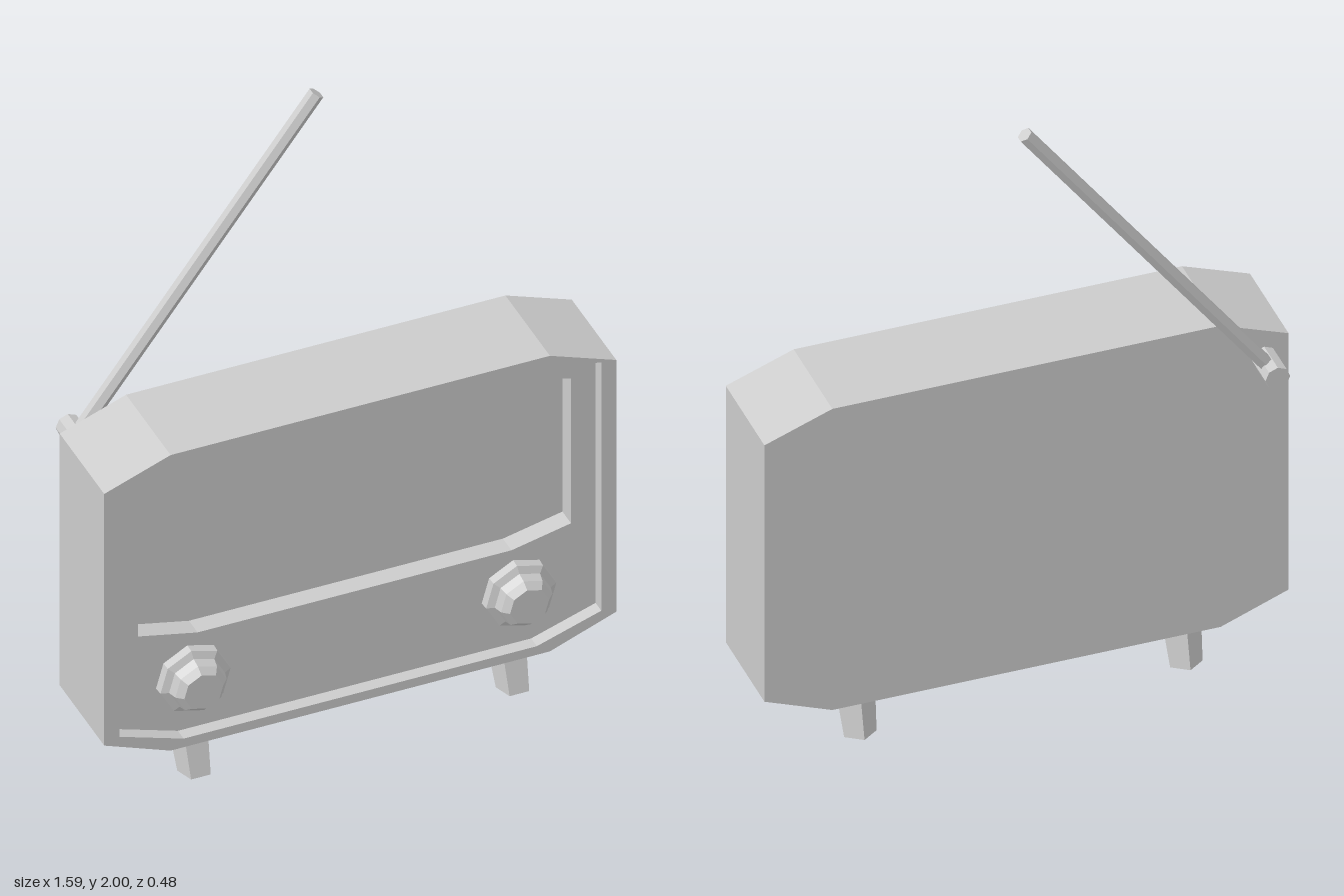
import * as THREE from 'three';

const material = new THREE.MeshStandardMaterial({ color: 0xcccccc, flatShading: true });

function addMesh(parent, name, geometry) {
  const mesh = new THREE.Mesh(geometry, material);
  mesh.name = name;
  parent.add(mesh);
  return mesh;
}

// Octagon with clipped corners, counter-clockwise seen from the front
function octagon([halfW, cornerX, bottom, lowY, highY, top], z) {
  return [
    [halfW, lowY], [halfW, highY], [cornerX, top], [-cornerX, top],
    [-halfW, highY], [-halfW, lowY], [-cornerX, bottom], [cornerX, bottom],
  ].map(([x, y]) => [x, y, z]);
}

// Skin a series of rings and close both ends with fans
function loft(rings) {
  const positions = [];
  const tri = (a, b, c) => positions.push(...a, ...b, ...c);
  const n = rings[0].length;
  for (let r = 0; r < rings.length - 1; r++) {
    for (let i = 0; i < n; i++) {
      const j = (i + 1) % n;
      const [a, b, c, d] = [rings[r][i], rings[r][j], rings[r + 1][j], rings[r + 1][i]];
      tri(a, b, c);
      tri(a, c, d);
    }
  }
  const first = rings[0];
  const last = rings[rings.length - 1];
  for (let i = 1; i < n - 1; i++) {
    tri(first[0], first[i + 1], first[i]);
    tri(last[0], last[i], last[i + 1]);
  }
  const geometry = new THREE.BufferGeometry();
  geometry.setAttribute('position', new THREE.Float32BufferAttribute(positions, 3));
  geometry.computeVertexNormals();
  return geometry;
}

// Tapered rod running between two points
function addRod(parent, name, from, to, rFrom, rTo, sides, spin = 0) {
  const a = new THREE.Vector3(...from);
  const b = new THREE.Vector3(...to);
  const dir = b.clone().sub(a);
  const geometry = new THREE.CylinderGeometry(rTo, rFrom, dir.length(), sides);
  geometry.rotateY(spin);
  const mesh = addMesh(parent, name, geometry);
  mesh.position.copy(a).add(b).multiplyScalar(0.5);
  mesh.quaternion.setFromUnitVectors(new THREE.Vector3(0, 1, 0), dir.normalize());
  return mesh;
}

export function createModel() {
  const model = new THREE.Group();
  model.name = 'portableSet';
  const turned = new THREE.Group();
  turned.name = 'turnedSet';
  turned.rotation.y = 0.085;
  turned.position.z = -0.008;
  model.add(turned);

  // Case with a raised rim, a recessed front panel and a deeper window
  const outer = [0.783, 0.58, 0.12, 0.198, 1.075, 1.15];
  const rim = [0.737, 0.54, 0.15, 0.215, 1.08, 1.125];
  const windowHole = [0.662, 0.48, 0.475, 0.515, 1.02, 1.065];
  addMesh(turned, 'case', loft([
    octagon(outer, -0.155), octagon(outer, 0.155),
    octagon(rim, 0.155), octagon(rim, 0.115),
    octagon(windowHole, 0.115), octagon(windowHole, 0.055),
  ]));

  // Two stepped eight-sided dials
  const dialProfile = [[0.11, 0], [0.108, 0.027], [0.086, 0.037], [0.079, 0.065], [0.06, 0.085], [0, 0.085]]
    .map(([r, h]) => new THREE.Vector2(r, h));
  for (const side of [-1, 1]) {
    const geometry = new THREE.LatheGeometry(dialProfile, 8);
    geometry.rotateY(0.12);
    geometry.rotateX(Math.PI / 2);
    const dial = addMesh(turned, side < 0 ? 'rightDial' : 'leftDial', geometry);
    dial.position.set(side * 0.498, 0.33, 0.115);
  }

  // Four short splayed legs
  for (const x of [-0.487, 0.487]) {
    for (const z of [-1, 1]) {
      const leg = addRod(turned, z > 0 ? 'frontLeg' : 'backLeg',
        [x, 0, z * 0.115], [x, 0.14, z * 0.07], 0.051, 0.062, 5, Math.PI);
      // Shear the foot flat onto the ground
      leg.updateMatrix();
      const p = leg.geometry.attributes.position;
      const v = new THREE.Vector3();
      const inverse = leg.matrix.clone().invert();
      for (let i = 0; i < p.count; i++) {
        v.fromBufferAttribute(p, i);
        const foot = v.y < 0;
        v.applyMatrix4(leg.matrix);
        v.y = foot ? 0 : 0.14;
        v.applyMatrix4(inverse);
        p.setXYZ(i, v.x, v.y, v.z);
      }
    }
  }

  // Antenna pivot on the back and its slanted rod
  addRod(turned, 'antennaPivot', [-0.71, 1.01, -0.15], [-0.71, 1.01, -0.265], 0.037, 0.037, 8);
  addRod(turned, 'antenna', [-0.71, 1.01, -0.207], [0.025, 1.986, -0.207], 0.023, 0.023, 6);

  return model;
}
